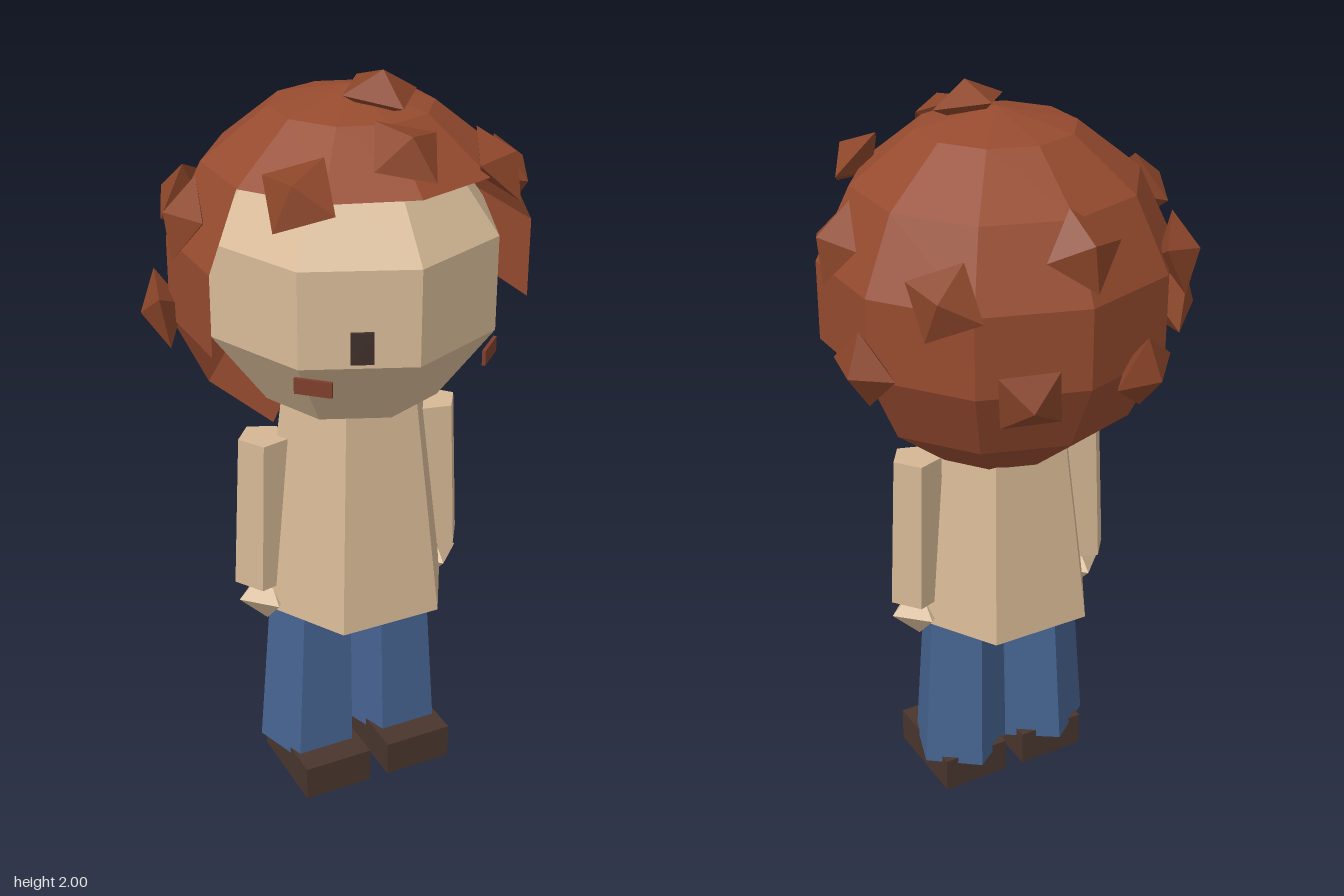
import * as THREE from 'three';

const rad = THREE.MathUtils.degToRad;

const mat = (name, color, side = THREE.FrontSide) => {
  const m = new THREE.MeshStandardMaterial({ color, flatShading: true, side });
  m.name = name;
  return m;
};

export function createModel() {
  const skin = mat('skin', 0xd8bb98);
  const shirt = mat('shirt', 0xd5b794);
  const hairMat = mat('hair', 0x964b2f, THREE.DoubleSide);
  const curlMat = mat('curl', 0x8b4529);
  const denim = mat('denim', 0x466390);
  const leather = mat('shoe leather', 0x48352d);
  const eyeMat = mat('eye', 0x3f302b);
  const blush = mat('cheek', 0x7d3f2c);

  const model = new THREE.Group();
  model.name = 'figure';

  const add = (name, geometry, material, x, y, z, parent = model) => {
    const mesh = new THREE.Mesh(geometry, material);
    mesh.name = name;
    mesh.position.set(x, y, z);
    parent.add(mesh);
    return mesh;
  };

  // Torso: flared six-sided smock with a flat front
  add('torso', new THREE.CylinderGeometry(0.2, 0.28, 0.6, 6, 1, false, rad(30)), shirt, 0, 0.86, 0.045);

  // Head: eight-sided ball with an edge down the middle of the face
  add('head', new THREE.SphereGeometry(0.4, 8, 5), skin, 0, 1.485, 0.035);

  // Face details
  const eye = add('eye', new THREE.BoxGeometry(0.055, 0.08, 0.008), eyeMat, -0.155, 1.44, 0.415);
  eye.rotation.y = -0.38;
  for (const s of [1, -1]) {
    const cheek = add('cheek', new THREE.BoxGeometry(0.095, 0.04, 0.009), blush, s * 0.24, 1.32, 0.328);
    cheek.rotation.y = s * 0.75;
  }

  // Hair: one faceted ball cut into crown, sides and nape around the face
  const hair = new THREE.Group();
  hair.name = 'hair';
  hair.position.set(0, 1.48, 0.04);
  model.add(hair);
  const R = 0.47, row = Math.PI / 7;
  const shell = (name, segments, firstRow, rows) => {
    const arc = segments * Math.PI / 5;
    const start = Math.PI * 1.5 - arc / 2; // centred on the back
    add(name, new THREE.SphereGeometry(R, segments, rows, start, arc, firstRow * row, rows * row), hairMat, 0, 0, 0, hair);
  };
  shell('hairCrown', 10, 0, 2);
  shell('hairSides', 6, 2, 2);
  shell('hairNape', 4, 4, 2);

  // Curls: flattened octahedra facing outward; x, y, z, twist
  const curls = [
    [0.035, 1.945, 0.12, 0.1],
    [-0.26, 1.79, 0.3, 0.4], [0, 1.86, 0.32, 0.4], [0.26, 1.79, 0.3, 0.5],
    [-0.44, 1.68, 0.04, 0.2], [0.44, 1.68, 0.04, 0.1],
    [-0.455, 1.4, -0.1, 0.3], [0.45, 1.41, -0.11, 0.3],
    [-0.325, 1.62, -0.29, 0.4], [0.325, 1.62, -0.29, 0.4],
    [0, 1.71, -0.37, 0.1],
    [-0.16, 1.38, -0.4, 0.5], [0.16, 1.38, -0.4, 0.5],
  ];
  const curlGeo = new THREE.OctahedronGeometry(1).scale(0.105, 0.055, 0.105);
  const up = new THREE.Vector3(0, 1, 0);
  for (const [x, y, z, twist] of curls) {
    const curl = add('curl', curlGeo, curlMat, x, y, z);
    const out = curl.position.clone().sub(hair.position).normalize();
    curl.quaternion.setFromUnitVectors(up, out);
    curl.rotateY(twist);
  }

  // Arms, hands, legs and shoes on both sides
  for (const s of [1, -1]) {
    // the pentagon start angle is mirrored for the right side
    const arm = add('arm', new THREE.CylinderGeometry(0.067, 0.075, 0.425, 5, 1, false, rad(21 * s)),
      shirt, s * 0.255, 0.843, 0.033);
    arm.rotation.z = s * 0.03;

    add('hand', new THREE.OctahedronGeometry(0.08), skin, s * 0.25, 0.58, 0.04);

    // Trouser leg: flat front, ridge at the back, leaning slightly outward
    const leg = add('leg', new THREE.CylinderGeometry(0.116, 0.138, 0.5, 5, 1, false, rad(36)),
      denim, s * 0.122, 0.33, 0.044);
    leg.rotation.z = s * 0.03;

    add('shoe', new THREE.BoxGeometry(0.195, 0.1, 0.28), leather, s * 0.125, 0.05, 0.087);
  }

  return model;
}
